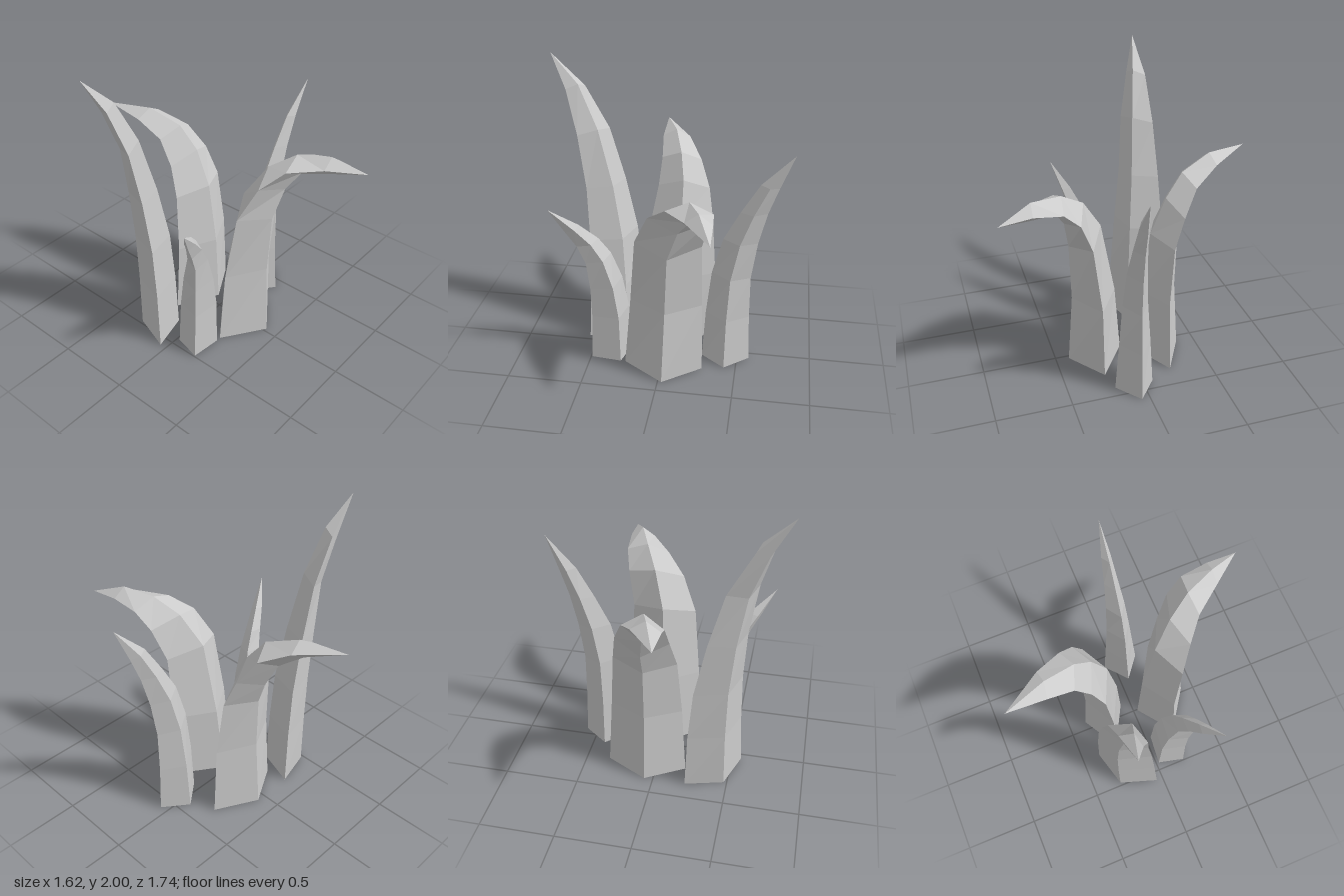
import * as THREE from 'three';

const material = new THREE.MeshStandardMaterial({ color: 0xcccccc, flatShading: true });

// One pointed leaf with a diamond cross-section.
// width, depth: half diagonals of the base diamond as [x, z]; depth points to the inner ridge.
// rings: [x, y, z, widthScale, depthScale, rise], where rise lifts the inner ridge as the leaf bends.
function makeLeaf(name, width, depth, rings, tip) {
  const sections = rings.map(([x, y, z, w, d, rise]) => {
    const W = new THREE.Vector3(width[0] * w, 0, width[1] * w);
    const D = new THREE.Vector3(depth[0] * d, rise, depth[1] * d);
    const c = new THREE.Vector3(x, y, z);
    return [c.clone().add(W), c.clone().add(D), c.clone().sub(W), c.clone().sub(D)];
  });
  const top = new THREE.Vector3(...tip);
  const points = [];

  // Sides between neighbouring sections
  for (let i = 0; i < sections.length - 1; i++) {
    for (let k = 0; k < 4; k++) {
      const n = (k + 1) % 4;
      const [a, b] = [sections[i][k], sections[i][n]];
      const [d, c] = [sections[i + 1][k], sections[i + 1][n]];
      points.push(a, b, c, a, c, d);
    }
  }
  // Pointed tip
  const last = sections[sections.length - 1];
  for (let k = 0; k < 4; k++) points.push(last[k], last[(k + 1) % 4], top);
  // Flat base
  const [p, q, r, s] = sections[0];
  points.push(p, s, r, p, r, q);

  const geometry = new THREE.BufferGeometry().setFromPoints(points);
  geometry.computeVertexNormals();
  const leaf = new THREE.Mesh(geometry, material);
  leaf.name = name;
  return leaf;
}

export function createModel() {
  const plant = new THREE.Group();
  plant.name = 'leafCluster';

  plant.add(
    // Broad leaf curling forward
    makeLeaf('frontLeaf', [0.265, 0], [-0.015, -0.19], [
      [0.01, 0, 0.22, 1, 1, 0],
      [0.03, 0.51, 0.225, 0.9, 0.8, 0],
      [0.05, 0.975, 0.28, 0.81, 0.58, 0.055],
      [0.125, 1.19, 0.365, 0.72, 0.34, 0.06],
      [0.205, 1.3, 0.475, 0.55, 0.1, 0.06],
      [0.282, 1.325, 0.66, 0.31, 0.02, 0.06],
    ], [0.37, 1.3, 0.87]),

    // Broad leaf curling backward
    makeLeaf('backLeaf', [-0.27, 0], [0.01, 0.15], [
      [0.07, 0, -0.225, 1, 1, 0],
      [0.07, 0.5, -0.22, 0.89, 0.82, 0],
      [0.07, 0.9, -0.255, 0.78, 0.65, 0.03],
      [0.07, 1.1, -0.33, 0.65, 0.47, 0.075],
      [0.04, 1.265, -0.43, 0.5, 0.35, 0.065],
      [-0.02, 1.36, -0.605, 0.35, 0.12, 0.055],
    ], [-0.115, 1.4, -0.87]),

    // Tallest leaf, leaning right
    makeLeaf('tallLeaf', [-0.172, 0.163], [0.085, 0.095], [
      [-0.393, 0, -0.21, 1, 1, 0],
      [-0.392, 0.4, -0.22, 0.92, 0.95, 0],
      [-0.405, 0.755, -0.23, 0.82, 0.88, 0],
      [-0.453, 1.125, -0.245, 0.66, 0.7, 0.01],
      [-0.53, 1.49, -0.255, 0.53, 0.45, 0.03],
      [-0.648, 1.78, -0.285, 0.31, 0.3, 0.03],
    ], [-0.81, 2, -0.31]),

    // Slim leaf leaning left
    makeLeaf('leftLeaf', [0, -0.13], [-0.162, 0.005], [
      [0.42, 0, 0.06, 1, 1, 0],
      [0.424, 0.35, 0.058, 0.82, 0.9, 0.01],
      [0.44, 0.66, 0.062, 0.65, 0.79, 0.015],
      [0.492, 0.92, 0.068, 0.52, 0.69, 0.01],
      [0.57, 1.13, 0.075, 0.37, 0.53, 0],
      [0.66, 1.32, 0.083, 0.25, 0.36, 0.01],
    ], [0.805, 1.54, 0.1]),

    // Short leaf leaning right and forward
    makeLeaf('shortLeaf', [0.08, 0.1], [0.125, -0.08], [
      [-0.367, 0, 0.12, 1, 1, 0],
      [-0.366, 0.345, 0.13, 0.92, 0.9, 0.01],
      [-0.385, 0.58, 0.149, 0.75, 0.77, 0.02],
      [-0.424, 0.78, 0.18, 0.5, 0.6, 0.02],
      [-0.485, 0.905, 0.207, 0.38, 0.5, 0.015],
      [-0.57, 1.02, 0.253, 0.27, 0.3, 0.02],
    ], [-0.7, 1.18, 0.33]),
  );
  return plant;
}
